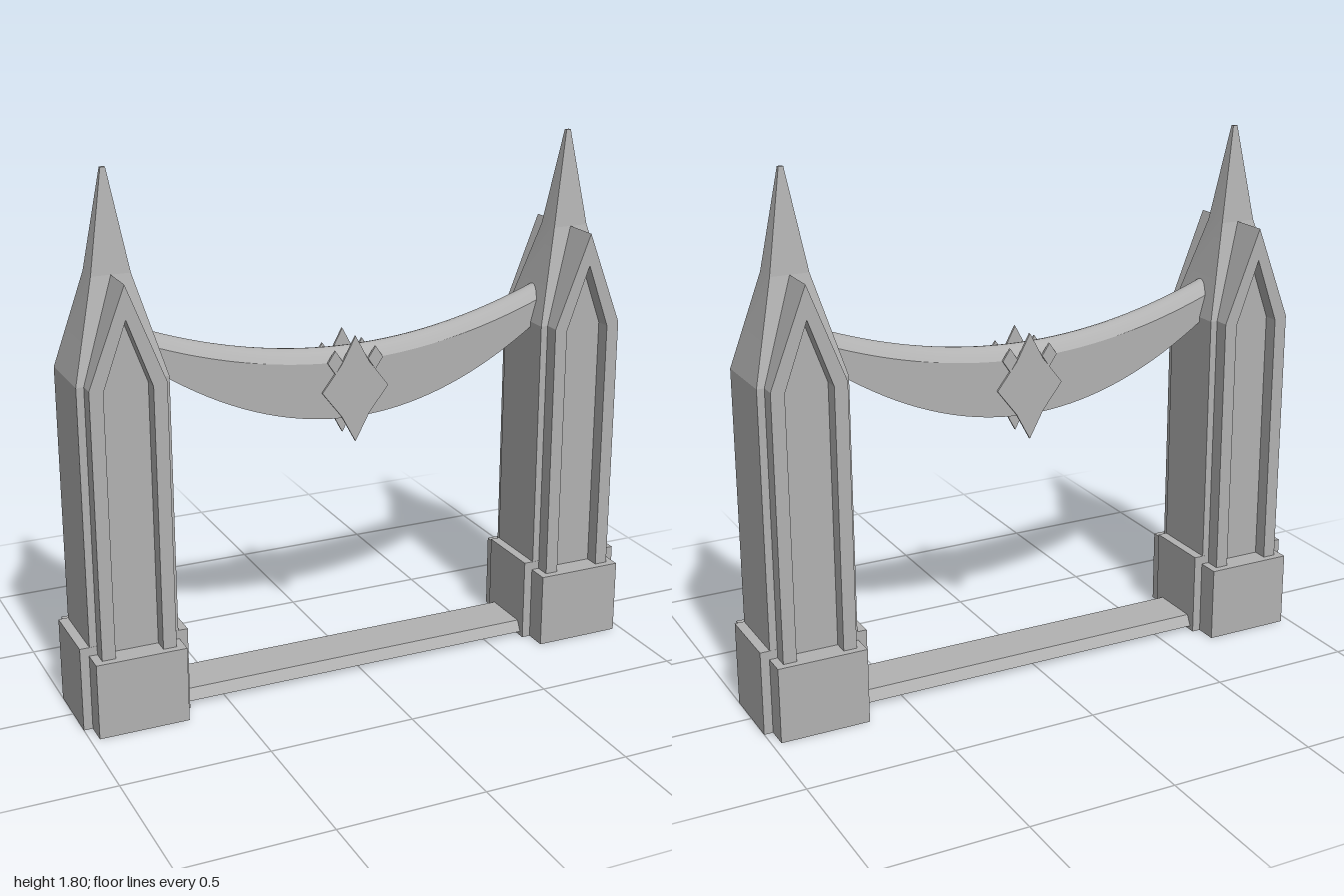
import * as THREE from 'three';
import { toCreasedNormals } from 'three/addons/utils/BufferGeometryUtils.js';

const stone = new THREE.MeshStandardMaterial({ color: 0xb2b2b2 });
stone.name = 'grey stone';

function add(parent, name, geometry, x = 0, y = 0, z = 0) {
  const mesh = new THREE.Mesh(geometry, stone);
  mesh.name = name;
  mesh.position.set(x, y, z);
  parent.add(mesh);
  return mesh;
}

// Skin closed rings of [x, y, z] points and cap both ends
function loft(rings, crease) {
  const n = rings[0].length, index = [];
  rings.slice(1).forEach((_, r) => {
    for (let i = 0; i < n; i++) {
      const a = r * n + i, b = r * n + (i + 1) % n;
      index.push(a, b, b + n, a, b + n, a + n);
    }
  });
  const last = (rings.length - 1) * n;
  for (let i = 1; i < n - 1; i++) {
    index.push(0, i + 1, i, last, last + i, last + i + 1);
  }
  const geometry = new THREE.BufferGeometry();
  geometry.setAttribute('position', new THREE.Float32BufferAttribute(rings.flat(2), 3));
  geometry.setIndex(index);
  return toCreasedNormals(geometry, crease);
}

const toShape = (points) => new THREE.Shape(points.map(([x, y]) => new THREE.Vector2(x, y)));

// Extrude a shape so that it is centred on z = 0
function slab(shape, depth) {
  const geometry = new THREE.ExtrudeGeometry(shape, { depth, bevelEnabled: false });
  return geometry.translate(0, 0, -depth / 2);
}

// Pointed outline with straight sides
const gable = (w, bottom, shoulder, peak) =>
  [[-w, bottom], [w, bottom], [w, shoulder], [0, peak], [-w, shoulder]];

function createTower() {
  const tower = new THREE.Group();
  tower.name = 'tower';

  // Crossed plinth blocks
  add(tower, 'plinthDeep', new THREE.BoxGeometry(0.305, 0.26, 0.4), 0, 0.13, 0);
  add(tower, 'plinthWide', new THREE.BoxGeometry(0.365, 0.29, 0.245), 0, 0.145, 0);

  // Shaft drawn up into a spire
  const levels = [[0.2, 0.15, 0.122], [1.16, 0.15, 0.122], [1.48, 0.064, 0.042], [1.805, 0.008, 0.006]];
  add(tower, 'spire', loft(levels.map(([y, w, d]) =>
    [[w, y, d], [w, y, -d], [-w, y, -d], [-w, y, d]]), 0.1));

  // Gabled frame with a recessed pointed panel at each end
  const frame = toShape(gable(0.125, 0.2, 1.16, 1.48));
  frame.holes.push(toShape(gable(0.08, 0.22, 1.15, 1.37)));
  add(tower, 'gableFrame', slab(frame, 0.35));
  add(tower, 'recessedPanel', slab(toShape(gable(0.08, 0.22, 1.15, 1.37)), 0.246));
  return tower;
}

// Sagging upper span: flat sides and underside, rounded top
function createSpan() {
  const rings = [], half = 0.05;
  for (let i = 0; i <= 36; i++) {
    const x = -0.72 + 0.04 * i;
    const edge = 1.105 + 0.135 * (x / 0.7) ** 2;
    const bottom = 0.91 + 0.23 * (x / 0.665) ** 2;
    const ring = [[x, bottom, -half]];
    for (let j = 0; j <= 8; j++) {
      const u = j / 4 - 1;
      ring.push([x, edge + 0.042 * (1 - u * u), u * half]);
    }
    ring.push([x, bottom, half]);
    rings.push(ring);
  }
  return loft(rings, 0.5);
}

export function createModel() {
  const model = new THREE.Group();
  model.name = 'twinTowerArch';

  for (const side of [-1, 1]) {
    const tower = createTower();
    tower.name = side > 0 ? 'leftTower' : 'rightTower';
    tower.position.x = side * 0.8175;
    model.add(tower);
  }

  add(model, 'upperSpan', createSpan());

  // Thin star and small lozenges on both faces of the span
  const star = toShape([[0, 0.183], [-0.05, 0.09], [-0.12, 0], [-0.05, -0.09],
    [0, -0.183], [0.05, -0.09], [0.12, 0], [0.05, 0.09]]);
  const lozenge = toShape([[0, 0.04], [-0.027, 0], [0, -0.04], [0.027, 0]]);
  for (const face of [-1, 1]) {
    const z = face * 0.053;
    add(model, 'star', slab(star, 0.008), 0, 1.008, z);
    for (const side of [-1, 1]) {
      add(model, 'lozenge', slab(lozenge, 0.008), side * 0.073, 1.108, z);
    }
  }

  // Lower tie: a shallow channel with splayed sides, open below
  const channel = toShape([[-0.105, 0.015], [-0.085, 0.052], [0.085, 0.052], [0.105, 0.015],
    [0.101, 0.015], [0.082, 0.048], [-0.082, 0.048], [-0.101, 0.015]]);
  add(model, 'lowerTie', slab(channel, 1.3).rotateY(Math.PI / 2));

  return model;
}
